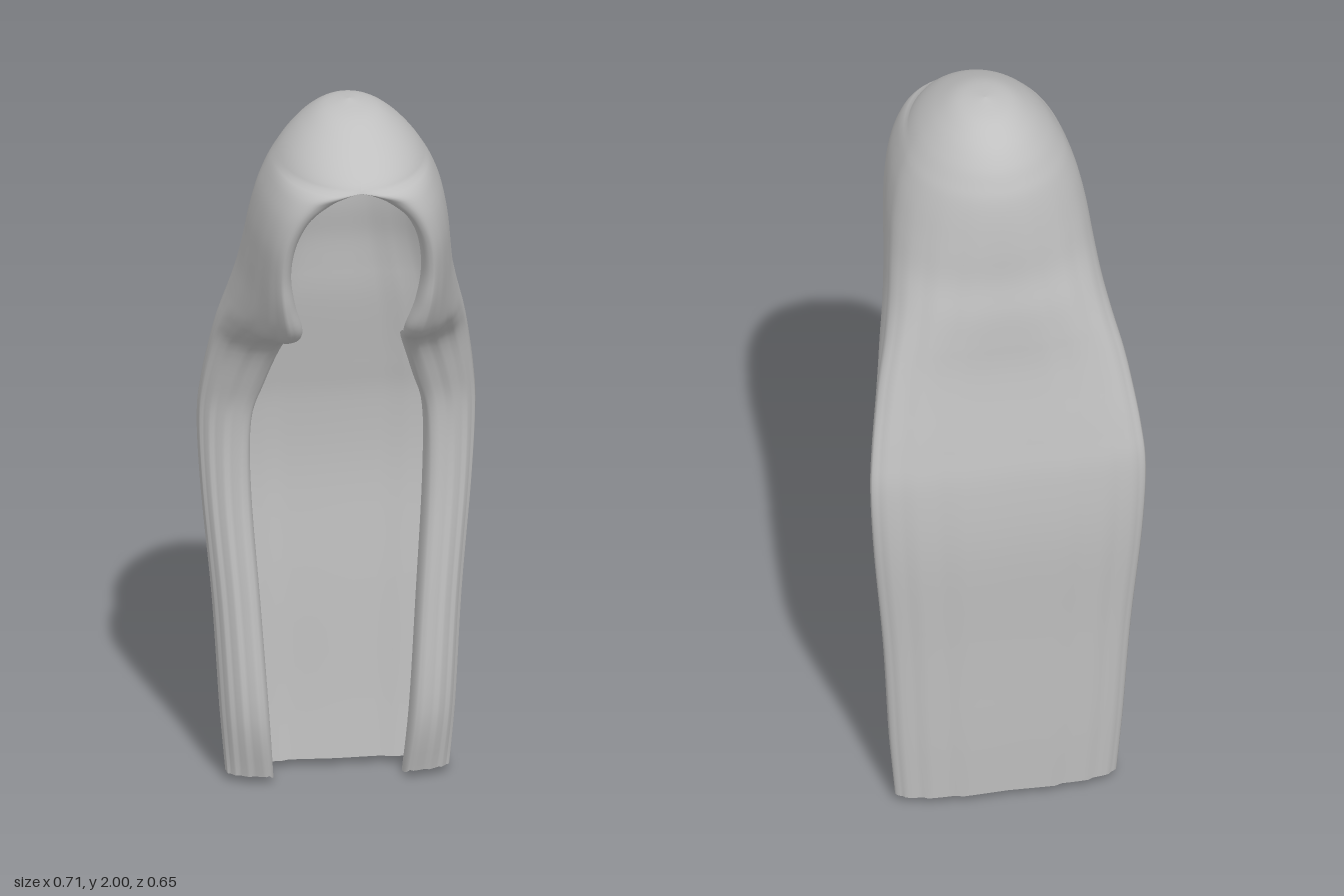
import * as THREE from 'three';

// Horizontal sections from crown to tips:
// y, half width, back z, z of widest point, front z, half gap between front edges, half gap between curled-in lips
const SECTIONS = [
  [2.0, 0, 0.03, 0.03, 0.03, 0, 0],
  [1.985, 0.07, -0.05, 0.04, 0.12, 0, 0],
  [1.95, 0.122, -0.11, 0.045, 0.2, 0, 0],
  [1.905, 0.165, -0.15, 0.05, 0.275, 0, 0],
  [1.86, 0.195, -0.173, 0.045, 0.322, 0, 0],
  [1.82, 0.215, -0.188, 0.035, 0.312, 0.11, 0.07],
  [1.76, 0.236, -0.2, 0.02, 0.296, 0.155, 0.128],
  [1.68, 0.252, -0.21, -0.005, 0.274, 0.183, 0.158],
  [1.59, 0.263, -0.218, -0.04, 0.25, 0.19, 0.167],
  [1.5, 0.275, -0.235, -0.085, 0.23, 0.182, 0.155],
  [1.42, 0.291, -0.243, -0.13, 0.195, 0.165, 0.133],
  [1.37, 0.303, -0.247, -0.155, 0.135, 0.16, 0.133],
  [1.32, 0.315, -0.253, -0.175, 0.02, 0.165, 0.145],
  [1.25, 0.328, -0.265, -0.2, -0.1, 0.175, 0.152],
  [1.12, 0.347, -0.29, -0.245, -0.17, 0.21, 0.188],
  [1.0, 0.355, -0.31, -0.27, -0.2, 0.235, 0.22],
  [0.8, 0.345, -0.32, -0.27, -0.2, 0.24, 0.22],
  [0.5, 0.318, -0.305, -0.255, -0.17, 0.22, 0.2],
  [0.2, 0.3, -0.295, -0.24, -0.15, 0.2, 0.18],
  [0.0, 0.285, -0.285, -0.235, -0.19, 0.18, 0.165],
];
const STEPS = 5; // rows per section
const EDGE = 40; // columns from the middle of the back to the front edge
const N = 46; // columns per side, including the lip
const LIP = N / EDGE - 1;
const STRANDS = 8; // per side
const { lerp, smoothstep, clamp } = THREE.MathUtils;

// Smooth blend of the sections; the gaps are blended as squares so the opening has a round top
function sectionAt(t) {
  const last = SECTIONS.length - 1;
  const i = Math.min(Math.floor(t), last - 1);
  const f = t - i;
  const at = (k) => SECTIONS[clamp(k, 0, last)].map((v, n) => (n > 4 ? v * v : v));
  const [p, q, r, s] = [at(i - 1), at(i), at(i + 1), at(i + 2)];
  return q.map((b, k) => {
    const a = p[k], c = r[k], d = s[k];
    const v = b + 0.5 * f * (c - a + f * (2 * a - 5 * b + 4 * c - d + f * (3 * (b - c) + d - a)));
    return k > 4 ? Math.sqrt(Math.max(0, v)) : v;
  });
}

// a = 0 at the middle of the back, 1 at the front edge, beyond 1 on the lip
function hairPoint(section, a) {
  const [y, w, zb, zw, zf, xe, xl] = section;
  // Lip curled into the opening
  if (a > 1) {
    const k = (a - 1) / LIP;
    return [lerp(xe, xl, Math.sin(k * Math.PI / 2)), y, zf - 0.3 * xe * k * k];
  }
  let x, z;
  if (a < 0.5) {
    // Round at the head, flatter down the back
    const q = a * Math.PI;
    const power = lerp(1, 0.75, smoothstep(1.8 - y, 0, 0.6));
    x = w * Math.sin(q) ** power;
    z = zw + (zb - zw) * Math.cos(q) ** power;
  } else {
    // Cheeks drawn in around the chin
    const q = (a - 0.5) * Math.PI;
    const power = 1 + 0.25 * (1 - smoothstep(Math.abs(y - 1.42), 0.05, 0.35));
    x = xe + (w - xe) * Math.max(0, Math.cos(q)) ** power;
    z = zw + (zf - zw) * Math.sin(q) ** power;
  }
  // Overlapping strands
  const lift = 0.008 * ((a * STRANDS) % 1) * smoothstep(1.9 - y, 0, 0.7);
  return [x + lift * Math.sin(a * Math.PI) * 0.5, y, z - lift * Math.cos(a * Math.PI)];
}

// One continuous sheet from the left lip round the back to the right lip
function hairSheet() {
  const positions = [];
  const index = [];
  const cols = 2 * N + 1;
  const rows = (SECTIONS.length - 1) * STEPS;
  for (let i = 0; i <= rows; i++) {
    const section = sectionAt(i / STEPS);
    for (let j = -N; j <= N; j++) {
      const a = Math.abs(j) / EDGE;
      const [x, y, z] = hairPoint(section, a);
      // Tips reach lowest at the lips
      const trim = 0.022 * Math.min(1, (1 + LIP - a) / LIP) * Math.max(0, 1 - y / 0.2);
      positions.push(j < 0 ? x : -x, y + trim, z);
      if (i < rows && j < N) {
        const p = i * cols + j + N;
        index.push(p, p + cols, p + 1, p + 1, p + cols, p + cols + 1);
      }
    }
  }
  const geometry = new THREE.BufferGeometry();
  geometry.setAttribute('position', new THREE.Float32BufferAttribute(positions, 3));
  geometry.setIndex(index);
  geometry.computeVertexNormals();
  return geometry;
}

export function createModel() {
  const group = new THREE.Group();
  group.name = 'longHair';
  const hair = new THREE.MeshStandardMaterial({ color: 0xc0c0c0, side: THREE.DoubleSide });
  hair.name = 'hair grey';

  const sheet = new THREE.Mesh(hairSheet(), hair);
  sheet.name = 'hairSheet';
  group.add(sheet);
  return group;
}
